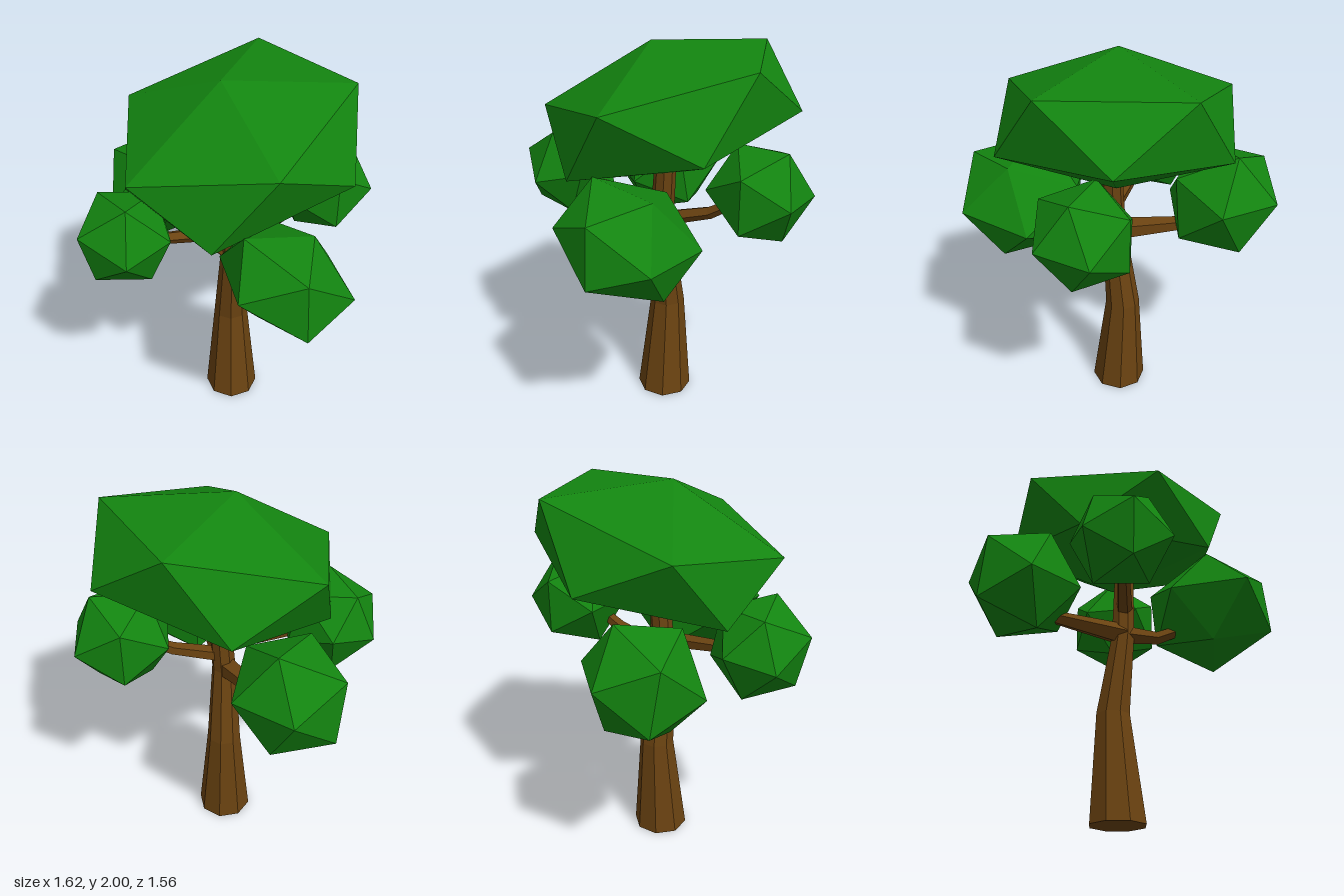
import * as THREE from 'three';
import { ConvexGeometry } from 'three/addons/geometries/ConvexGeometry.js';

const leaf = new THREE.MeshStandardMaterial({ color: 0x138510, flatShading: true });
const bark = new THREE.MeshStandardMaterial({ color: 0x6b4311, flatShading: true });

// Faceted leaf clump: a tilted, stretched icosahedron given by its centre
// and one end of each of its six axes (the other ends are mirrored)
function clump(name, centre, axes) {
  const points = [];
  for (const a of axes) {
    const v = new THREE.Vector3(...a);
    points.push(v, v.clone().negate());
  }
  const mesh = new THREE.Mesh(new ConvexGeometry(points), leaf);
  mesh.position.set(...centre);
  mesh.name = name;
  return mesh;
}

// Faceted limb: closed tube through [x, y, z, radius] stations, rings square to one axis
function limb(name, stations, sides, axis) {
  const ends = [stations[0], stations[stations.length - 1]].map(s => new THREE.Vector3(s[0], s[1], s[2]));
  const dir = axis || ends[1].clone().sub(ends[0]).normalize();
  const turn = new THREE.Quaternion().setFromUnitVectors(new THREE.Vector3(0, 1, 0), dir);
  const pos = [], index = [];
  for (const [x, y, z, r] of stations) {
    for (let i = 0; i < sides; i++) {
      const t = (i / sides) * Math.PI * 2 + 0.12;
      const p = new THREE.Vector3(r * Math.sin(t), 0, r * Math.cos(t)).applyQuaternion(turn);
      pos.push(p.x + x, p.y + y, p.z + z);
    }
  }
  const rows = stations.length - 1;
  for (let j = 0; j < rows; j++) {
    for (let i = 0; i < sides; i++) {
      const k = (i + 1) % sides;
      const a = j * sides + i, b = j * sides + k;
      index.push(a, b, b + sides, a, b + sides, a + sides);
    }
  }
  // end caps
  const top = rows * sides;
  for (let i = 1; i < sides - 1; i++) {
    index.push(0, i + 1, i, top, top + i, top + i + 1);
  }
  const geo = new THREE.BufferGeometry();
  geo.setAttribute('position', new THREE.Float32BufferAttribute(pos, 3));
  geo.setIndex(index);
  const flat = geo.toNonIndexed();
  flat.computeVertexNormals();
  const mesh = new THREE.Mesh(flat, bark);
  mesh.name = name;
  return mesh;
}

export function createModel() {
  const tree = new THREE.Group();
  tree.name = 'tree';

  // trunk, leaning a little as it rises
  tree.add(limb('trunk', [
    [-0.005, 0, -0.017, 0.148],
    [-0.027, 0.56, -0.03, 0.092],
    [0.02, 1.0, -0.005, 0.064],
    [0.035, 1.42, -0.03, 0.055],
  ], 8, new THREE.Vector3(0, 1, 0)));

  // branches reaching into the side clumps
  tree.add(
    limb('rightBranch', [[0.02, 1.01, 0, 0.062], [-0.45, 1.04, 0.06, 0.03]], 5),
    limb('leftBranch', [[0.02, 1.01, 0, 0.052], [0.2, 1.0, 0.03, 0.036], [0.38, 1.08, 0.05, 0.028]], 5),
    limb('frontBranch', [[0.03, 1.15, -0.01, 0.045], [-0.12, 1.21, 0.44, 0.028]], 5),
    limb('backBranch', [[0.03, 1.08, -0.02, 0.042], [0.09, 1.16, -0.27, 0.034], [0.12, 1.25, -0.42, 0.026]], 5),
  );

  // broad tilted crown
  tree.add(clump('crown', [0, 1.67, -0.045], [
    [0, 0.33, 0.095], [-0.37, 0.28, -0.435], [0.33, 0.28, -0.455],
    [0.56, 0.11, 0.215], [-0.56, 0.09, 0.255], [0.02, -0.015, 0.645],
  ]));

  // smaller clumps around the trunk
  tree.add(clump('frontClump', [-0.155, 1.255, 0.533], [
    [-0.015, 0.085, 0.247], [-0.155, 0.195, 0.042], [0.125, 0.235, 0.052],
    [0.225, -0.015, 0.132], [0, -0.185, 0.187], [-0.225, -0.04, 0.122],
  ]));
  tree.add(clump('rightClump', [-0.541, 1.19, 0.065], [
    [-0.06, 0.29, -0.115], [-0.015, -0.05, 0.31], [-0.27, 0.046, -0.145],
    [-0.22, 0.168, 0.155], [-0.245, -0.16, 0.11], [0.1, 0.24, 0.16],
  ]));
  tree.add(clump('leftClump', [0.507, 1.18, 0.057], [
    [0.068, 0.06, 0.343], [-0.087, 0.265, 0.188], [0.275, 0.18, 0.118],
    [0.303, -0.123, 0.125], [-0.046, -0.215, 0.127], [-0.293, 0.03, 0.172],
  ]));
  tree.add(clump('backClump', [0.125, 1.303, -0.52], [
    [-0.05, -0.015, -0.265], [0.05, 0.23, -0.13], [-0.05, 0.23, 0.125],
    [0.215, 0, -0.16], [0.215, 0.142, 0.08], [0.215, -0.142, 0.08],
  ]));

  return tree;
}
